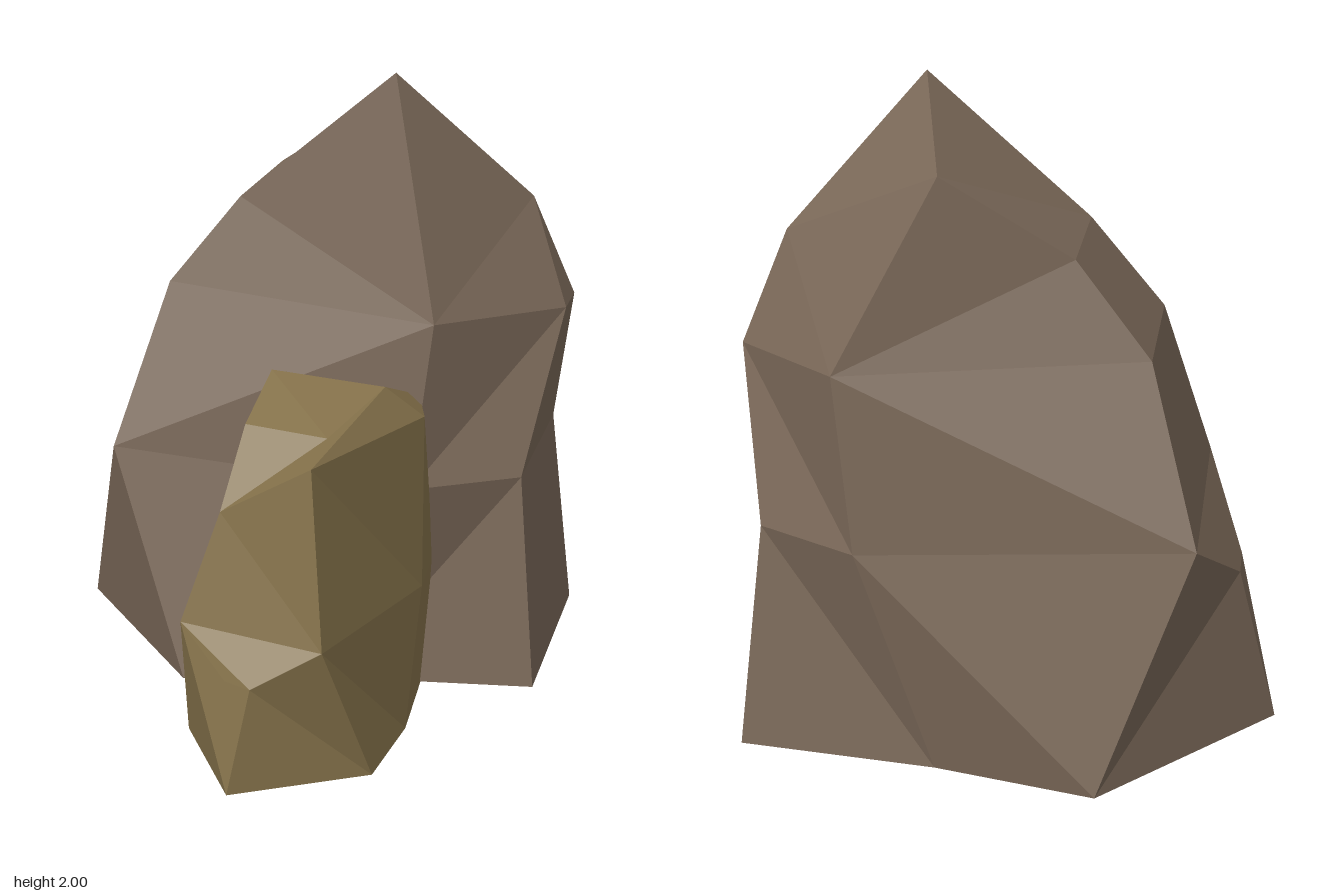
import * as THREE from 'three';

// Flat-shaded rock from named corners; each face is a loop of corner names,
// fanned from its first corner and turned to look away from the rock's middle
function rock(name, color, corners, faces) {
  const v = {};
  const middle = new THREE.Vector3();
  for (const key in corners) {
    v[key] = new THREE.Vector3(...corners[key]);
    middle.add(v[key]);
  }
  middle.divideScalar(Object.keys(corners).length);

  const points = [];
  for (const face of faces) {
    const loop = face.split(' ').map((key) => v[key]);
    for (let i = 1; i < loop.length - 1; i++) {
      const tri = new THREE.Triangle(loop[0], loop[i], loop[i + 1]);
      const normal = tri.getNormal(new THREE.Vector3());
      const outward = tri.getMidpoint(new THREE.Vector3()).sub(middle);
      points.push(...(normal.dot(outward) > 0 ? [tri.a, tri.b, tri.c] : [tri.a, tri.c, tri.b]));
    }
  }
  const geometry = new THREE.BufferGeometry().setFromPoints(points);
  geometry.computeVertexNormals();
  const mesh = new THREE.Mesh(geometry, new THREE.MeshStandardMaterial({ color, flatShading: true }));
  mesh.name = name;
  return mesh;
}

// Tall rock: mirrored front (+) to back (-) about z = -0.36, except for its peak
function tallRock() {
  const MID = -0.36;
  const halves = {
    foot: [-0.31, 0.01, 0.62], notch: [0.19, 0.01, 0.48], heel: [0.81, 0.01, 0.385],
    knob: [-0.71, 0.53, 0.08],
    waistL: [-0.59, 0.74, 0.46], waistM: [0.42, 0.71, 0.517], waistR: [0.74, 0.71, 0.315],
    chest: [0.48, 1.25, 0.483], side: [0.83, 1.22, 0.085],
    neck: [-0.44, 1.27, 0.295], brow: [-0.21, 1.56, 0.255],
  };
  const corners = {
    tip: [-0.83, 0.01, MID], ear: [0.70, 1.56, MID],
    'peak+': [0.31, 2.0, -0.05], 'peak-': [0.18, 1.82, -0.71],
  };
  for (const key in halves) {
    const [x, y, d] = halves[key];
    corners[key + '+'] = [x, y, MID + d];
    corners[key + '-'] = [x, y, MID - d];
  }

  // Faces across the middle
  const faces = [
    'tip knob+ knob-', 'knob+ waistL+ waistL- knob-', 'waistL+ neck+ neck- waistL-',
    'neck+ brow+ brow- neck-', 'brow+ peak+ peak- brow-', 'peak+ ear peak-',
    'ear side+ side-', 'side+ waistR+ waistR- side-', 'waistR+ heel+ heel- waistR-',
    'tip foot+ notch+ heel+ heel- notch- foot-',
    'tip foot+ waistL+ knob+', 'foot- waistL- knob- tip',
  ];
  // Faces of the front, repeated on the back
  for (const face of [
    'foot+ notch+ waistM+ waistL+', 'notch+ heel+ waistR+ waistM+',
    'waistM+ waistR+ side+ chest+', 'chest+ side+ ear peak+',
    'chest+ waistM+ waistL+ neck+ brow+ peak+',
  ]) faces.push(face, face.replaceAll('+', '-'));

  return rock('tallRock', 0x7a6858, corners, faces);
}

// Small rock: its back end is sunk into the front of the tall one
function smallRock() {
  const corners = {
    // foot
    toe: [0.05, 0, 0.97], footL: [-0.19, 0, 0.58], footR: [0.44, 0, 0.73],
    heelR: [0.47, 0, 0.4], backR: [0.44, 0, 0], backL: [0.1, 0, -0.06],
    // ledge and belly
    ledgeL: [0.02, 0.33, 0.88], ledgeR: [0.11, 0.33, 0.92],
    bellyL: [-0.15, 0.455, 0.77], bellyR: [0.32, 0.455, 0.88],
    hipR: [0.49, 0.44, 0.28], rearR: [0.47, 0.44, 0.02], hipL: [-0.08, 0.45, 0.33],
    // shoulders
    shoulderL: [-0.04, 0.8, 0.71], shoulderR: [0.26, 0.99, 0.78], sideR: [0.48, 0.99, 0.24],
    // top
    browL: [0, 1.035, 0.57], browR: [0.27, 1.035, 0.63],
    topL: [0.01, 1.125, 0.31], topR: [0.37, 1.1, 0.31],
    napeL: [0, 1.02, 0.02], napeR: [0.42, 0.99, 0.04],
  };
  return rock('smallRock', 0x84714a, corners, [
    // front
    'bellyL ledgeL toe footL', 'ledgeL ledgeR toe', 'ledgeR bellyR footR toe',
    'bellyL bellyR ledgeR ledgeL', 'shoulderL shoulderR bellyR bellyL',
    'browR shoulderR shoulderL browL',
    // top
    'topL topR browR browL', 'topR sideR shoulderR browR', 'topL napeL napeR topR',
    'topR napeR sideR',
    // +x side
    'shoulderR sideR hipR bellyR', 'bellyR hipR heelR footR', 'hipR rearR backR heelR',
    'sideR napeR rearR hipR',
    // -x side
    'topL browL shoulderL', 'topL shoulderL bellyL hipL', 'bellyL footL hipL',
    'footL backL hipL', 'topL hipL napeL', 'hipL backL napeL',
    // back and underside
    'napeL backL backR rearR napeR', 'footL toe footR heelR backR backL',
  ]);
}

export function createModel() {
  const group = new THREE.Group();
  group.name = 'rocks';
  group.add(tallRock(), smallRock());
  return group;
}
